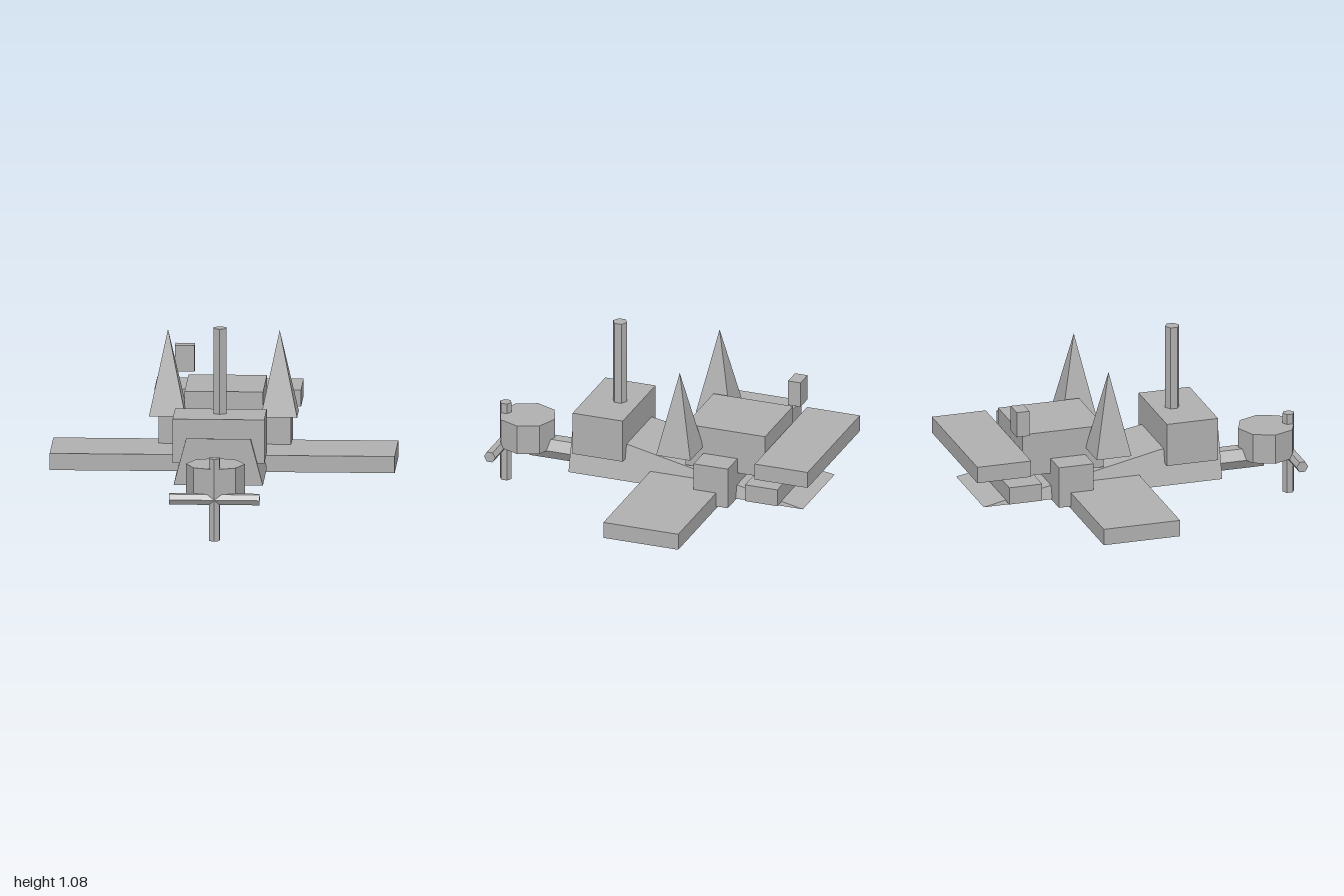
import * as THREE from 'three';

export function createModel() {
  const model = new THREE.Group();
  model.name = 'propellerPlane';
  const grey = new THREE.MeshStandardMaterial({ color: 0xb0b0b0 });
  grey.name = 'grey';

  // Adds a mesh with crisp facets
  function add(name, geometry, x = 0, y = 0, z = 0) {
    const flat = geometry.index ? geometry.toNonIndexed() : geometry;
    flat.computeVertexNormals();
    const mesh = new THREE.Mesh(flat, grey);
    mesh.name = name;
    mesh.position.set(x, y, z);
    model.add(mesh);
    return mesh;
  }

  // Box given by its limits on each axis
  function box(name, [x0, x1], [y0, y1], [z0, z1]) {
    add(name, new THREE.BoxGeometry(x1 - x0, y1 - y0, z1 - z0),
      (x0 + x1) / 2, (y0 + y1) / 2, (z0 + z1) / 2);
  }

  const rod = (radius, length, sides = 6) =>
    new THREE.CylinderGeometry(radius, radius, length, sides);

  // Wedge fuselage: trapezoid nose tapering to a flat tail edge
  const fuselage = new THREE.BufferGeometry();
  fuselage.setAttribute('position', new THREE.Float32BufferAttribute([
    -0.25, 0.22, 0.495, 0.25, 0.22, 0.495, 0.18, 0.485, 0.495,
    -0.18, 0.485, 0.495, 0.25, 0.22, -0.91, -0.25, 0.22, -0.91,
  ], 3));
  fuselage.setIndex([
    0, 1, 2, 0, 2, 3, // nose
    1, 4, 2, 0, 3, 5, // sides
    3, 2, 4, 3, 4, 5, // top
    0, 5, 4, 0, 4, 1, // bottom
  ]);
  add('fuselage', fuselage);

  // Wings, tail and body blocks
  box('wing', [-0.967, 0.967], [0.2, 0.295], [-0.437, 0.012]);
  box('frontCabin', [-0.257, 0.257], [0.34, 0.59], [0.167, 0.468]);
  box('rearCabin', [-0.22, 0.22], [0.365, 0.615], [-0.672, -0.195]);
  box('crossBlock', [-0.372, 0.372], [0.213, 0.453], [-0.507, -0.302]);
  box('tailBlock', [-0.303, 0.303], [0.24, 0.34], [-0.777, -0.583]);
  box('tailPlane', [-0.411, 0.411], [0.435, 0.53], [-1, -0.683]);
  box('tailLamp', [-0.295, -0.185], [0.635, 0.783], [-0.73, -0.655]);

  // Tall mast on the front cabin
  add('mast', rod(0.042, 0.487), 0, 0.8325, 0.281);

  // Mirrored four-sided spires
  for (const [side, name] of [[1, 'leftSpire'], [-1, 'rightSpire']]) {
    const spire = new THREE.ConeGeometry(0.145, 0.48, 4);
    spire.rotateY(Math.PI / 4);
    add(name, spire, side * 0.313, 0.73, -0.196);
  }

  // Nose shaft, engine drum and crossed propeller
  const shaft = rod(0.067, 0.33);
  shaft.rotateY(Math.PI / 6).rotateX(Math.PI / 2);
  add('noseShaft', shaft, 0, 0.24, 0.645);
  add('engineDrum', rod(0.165, 0.172, 8), 0, 0.325, 0.835);
  add('verticalBlade', rod(0.034, 0.47), 0, 0.235, 0.966);
  add('horizontalBlade', rod(0.034, 0.506).rotateZ(Math.PI / 2), 0, 0.236, 0.966);

  return model;
}
